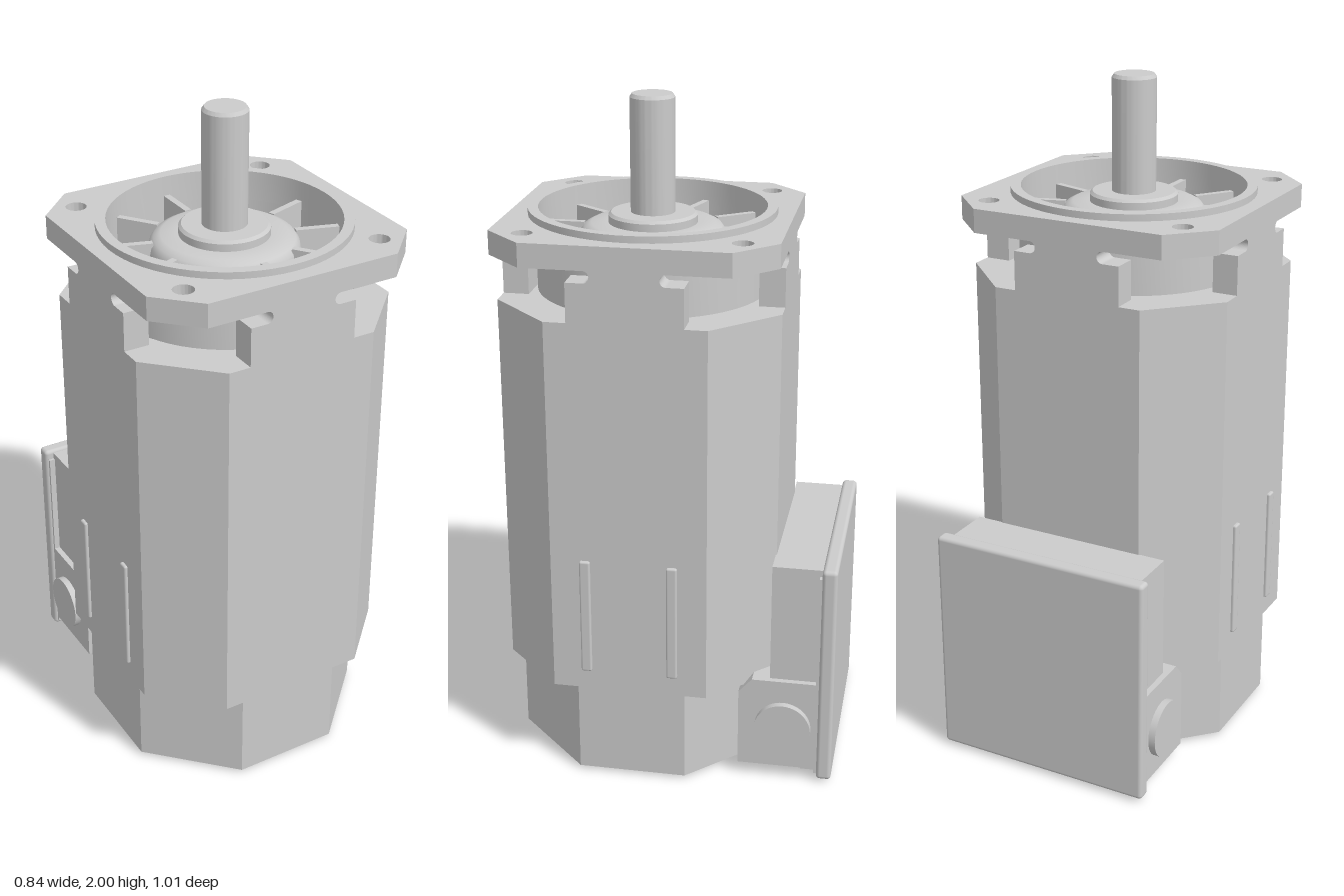
import * as THREE from 'three';
import { toCreasedNormals } from 'three/addons/utils/BufferGeometryUtils.js';
import { RoundedBoxGeometry } from 'three/addons/geometries/RoundedBoxGeometry.js';

const grey = new THREE.MeshStandardMaterial({ color: 0xcccccc });

function add(parent, name, geometry, x = 0, y = 0, z = 0) {
  const mesh = new THREE.Mesh(geometry, grey);
  mesh.name = name;
  mesh.position.set(x, y, z);
  parent.add(mesh);
  return mesh;
}

// Square outline with chamfered corners: half width h, half length of the flats f
const octagon = (h, f) => [[h, -f], [h, f], [f, h], [-f, h], [-h, f], [-h, -f], [-f, -h], [f, -h]]
  .map(([x, y]) => new THREE.Vector2(x, y));

const circle = (x, y, r) => new THREE.Path().absarc(x, y, r, 0, Math.PI * 2, true);

// Vertical prism of a shape from y0 to y1
function prism(shape, y0, y1) {
  const g = new THREE.ExtrudeGeometry(shape, { depth: y1 - y0, bevelEnabled: false, curveSegments: 32 });
  return toCreasedNormals(g.rotateX(-Math.PI / 2).translate(0, y0, 0), 0.5);
}

const turned = (points) => toCreasedNormals(
  new THREE.LatheGeometry(points.map(([r, y]) => new THREE.Vector2(r, y)), 64), 0.6);

// Side profile given as [z, y], extruded across x
function across(points, half) {
  const shape = new THREE.Shape(points.map(([z, y]) => new THREE.Vector2(-z, y)));
  return new THREE.ExtrudeGeometry(shape, { depth: half * 2, bevelEnabled: false })
    .translate(0, 0, -half).rotateY(Math.PI / 2);
}

export function createModel() {
  const model = new THREE.Group();
  model.name = 'electricMotor';
  const motor = new THREE.Group();
  motor.name = 'motor';
  motor.position.z = 0.095;
  model.add(motor);

  // Main housing and the round neck under the flange
  add(motor, 'housing', prism(new THREE.Shape(octagon(0.41, 0.23)), 0.3, 1.44));
  add(motor, 'neck', turned([[0.34, 1.43], [0.34, 1.6]]));

  // Stepped wall on each side, leaving pockets at the corners for the bolts
  const wall = new THREE.Shape();
  wall.moveTo(-0.165, 1.44);
  wall.lineTo(0.165, 1.44);
  wall.lineTo(0.165, 1.555);
  wall.lineTo(0.115, 1.555);
  wall.absarc(0.115, 1.5725, 0.0175, -Math.PI / 2, Math.PI / 2, true);
  wall.lineTo(-0.115, 1.59);
  wall.absarc(-0.115, 1.5725, 0.0175, Math.PI / 2, -Math.PI / 2, true);
  wall.lineTo(-0.165, 1.555);
  for (let i = 0; i < 4; i++) {
    const g = new THREE.ExtrudeGeometry(wall, { depth: 0.075, bevelEnabled: false });
    add(motor, 'neckWall', g.translate(0, 0, 0.335)).rotation.y = i * Math.PI / 2;
  }

  // Mounting flange with bolt holes
  const flange = new THREE.Shape(octagon(0.41, 0.295));
  flange.holes.push(circle(0, 0, 0.332));
  for (const x of [-0.308, 0.308]) for (const y of [-0.308, 0.308]) flange.holes.push(circle(x, y, 0.03));
  add(motor, 'flange', prism(flange, 1.59, 1.66));
  add(motor, 'pilotRing', turned([[0.362, 1.655], [0.362, 1.68], [0.332, 1.68], [0.332, 1.48], [0.2, 1.48]]));

  // Bearing hub, radial ribs and shaft
  add(motor, 'hub', turned([[0.215, 1.48], [0.215, 1.585], [0.211, 1.605], [0.2, 1.62], [0.18, 1.63],
    [0.13, 1.63], [0.13, 1.652], [0.122, 1.66], [0, 1.66]]));
  for (let i = 0; i < 10; i++) {
    const a = i * Math.PI / 5;
    add(motor, 'rib', new THREE.BoxGeometry(0.02, 0.14, 0.13).translate(0, 1.55, -0.27)).rotation.y = a;
  }
  add(motor, 'shaft', turned([[0.065, 1.65], [0.065, 1.99], [0.058, 2], [0, 2]]));

  // Raised strips on both sides
  for (const side of [-1, 1]) for (const z of [-0.128, 0.128]) {
    add(motor, 'sideStrip', new RoundedBoxGeometry(0.03, 0.36, 0.032, 2, 0.006), side * 0.405, 0.54, z);
  }

  // Rear fan cover with a slotted grille underneath
  const t = Math.tan(Math.PI / 8);
  const cover = new THREE.Shape(octagon(0.39, 0.39 * t));
  cover.holes.push(new THREE.Path(octagon(0.365, 0.365 * t).reverse()));
  add(motor, 'fanCover', prism(cover, 0.01, 0.301));
  const grille = new THREE.Shape(octagon(0.367, 0.367 * t));
  for (let ring = 0; ring < 5; ring++) {
    const r0 = 0.175 + ring * 0.036, r1 = r0 + 0.025, n = 20;
    for (let i = 0; i < n; i++) {
      const a = (i + (ring % 2) / 2) * Math.PI * 2 / n, b = a + Math.PI * 2 / n - 0.012 / r0;
      const slot = new THREE.Path();
      for (let k = 0; k <= 3; k++) {
        const c = a + (b - a) * k / 3;
        if (k) slot.lineTo(r0 * Math.cos(c), r0 * Math.sin(c));
        else slot.moveTo(r0 * Math.cos(c), r0 * Math.sin(c));
      }
      for (let k = 3; k >= 0; k--) {
        const c = a + (b - a) * k / 3;
        slot.lineTo(r1 * Math.cos(c), r1 * Math.sin(c));
      }
      grille.holes.push(slot);
    }
  }
  add(motor, 'grille', prism(grille, 0.005, 0.025));
  add(motor, 'grilleCentre', new THREE.CylinderGeometry(0.165, 0.165, 0.02, 48), 0, 0.01, 0);

  // Terminal box on the back: case, lower cable housing, lid and round cable covers
  const box = new THREE.Group();
  box.name = 'terminalBox';
  model.add(box);
  add(box, 'case', across([[-0.47, 0.025], [-0.41, 0.025], [-0.41, 0.06], [-0.312, 0.06],
    [-0.312, 0.7], [-0.47, 0.7]], 0.312));
  add(box, 'caseRim', across([[-0.47, 0.025], [-0.452, 0.025], [-0.452, 0.68], [-0.47, 0.68]], 0.33));
  add(box, 'cableHousing', across([[-0.455, 0.04], [-0.22, 0.04], [-0.22, 0.285], [-0.26, 0.33],
    [-0.455, 0.33]], 0.33));
  add(box, 'lid', new RoundedBoxGeometry(0.68, 0.7, 0.045, 3, 0.012), 0, 0.36, -0.4825);
  for (const side of [-1, 1]) {
    const g = new THREE.CylinderGeometry(0.085, 0.085, 0.04, 48).rotateZ(Math.PI / 2);
    add(box, 'cableCover', g, side * 0.331, 0.175, -0.355);
  }
  return model;
}
